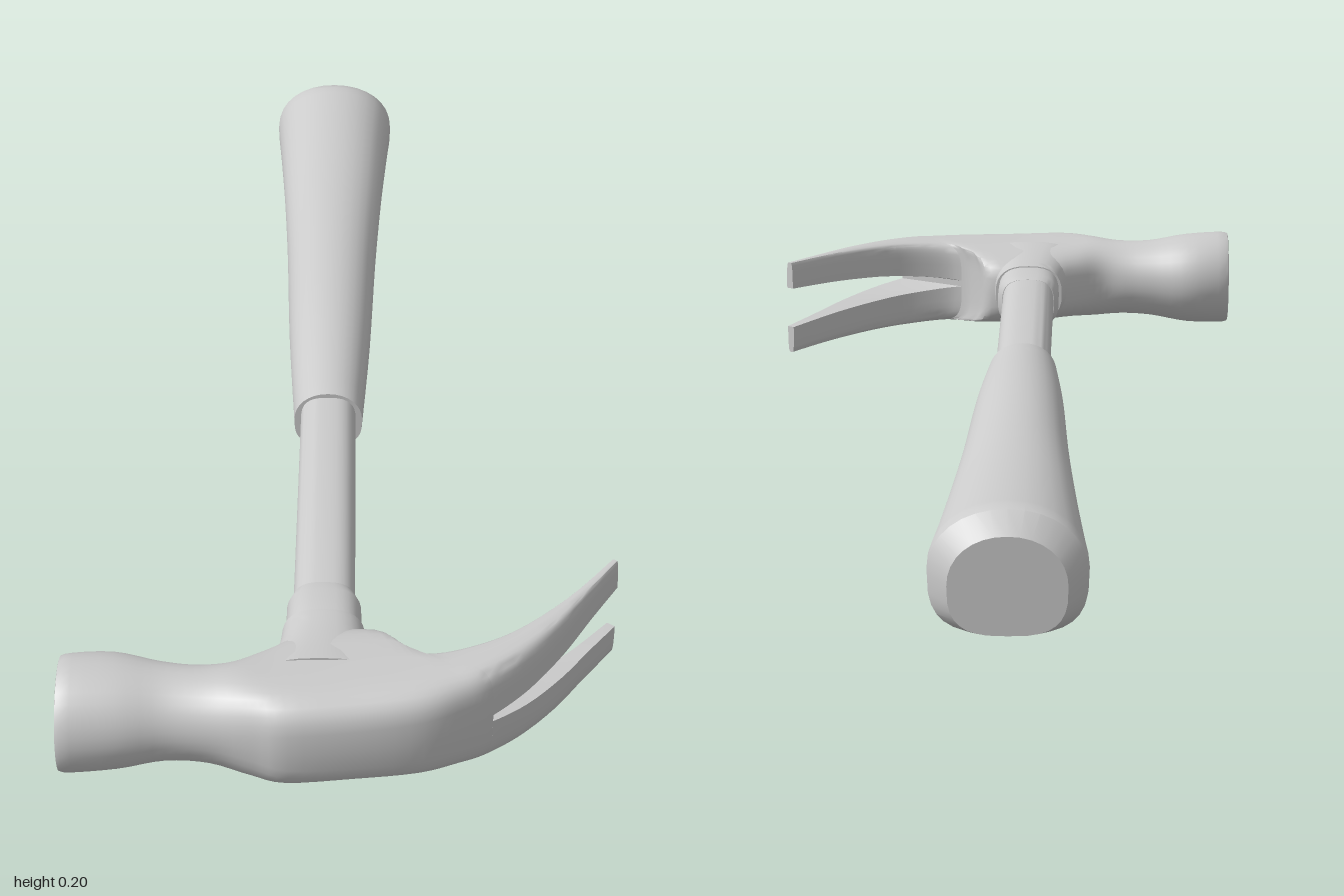
import * as THREE from 'three';
import { toCreasedNormals } from 'three/addons/utils/BufferGeometryUtils.js';

const SIDES = 32;
const material = new THREE.MeshStandardMaterial({ color: 0xcccccc });

// Superellipse ring between two plan points, with its own roundness above and below.
// taper narrows the ring toward its second point; clip may flatten it on one side.
function ring({ L, R, y, h, top, bottom = top, taper = 0 }, clip = (v) => v) {
  const points = [];
  for (let j = 0; j < SIDES; j++) {
    const a = (j / SIDES) * Math.PI * 2;
    const power = 2 / (Math.sin(a) >= 0 ? top : bottom);
    const bend = (v) => (Math.abs(v) < 1e-9 ? 0 : Math.sign(v) * Math.abs(v) ** power);
    const lat = bend(Math.cos(a));
    const t = (lat + 1) / 2;
    const up = clip(bend(Math.sin(a)) * h * (1 - taper * t));
    points.push(new THREE.Vector3(L[0] + (R[0] - L[0]) * t, y + up, L[1] + (R[1] - L[1]) * t));
  }
  return points;
}

// Skin a run of rings and close both ends
function loft(rings, name, crease = 0.6) {
  const positions = [];
  const tri = (...corners) => corners.forEach((p) => positions.push(p.x, p.y, p.z));
  const centre = (r) => r.reduce((s, p) => s.add(p), new THREE.Vector3()).divideScalar(SIDES);
  const first = rings[0];
  const last = rings[rings.length - 1];
  const start = centre(first);
  const end = centre(last);
  for (let j = 0; j < SIDES; j++) {
    const k = (j + 1) % SIDES;
    for (let i = 0; i < rings.length - 1; i++) {
      const [a, b] = [rings[i], rings[i + 1]];
      tri(a[j], a[k], b[j]);
      tri(a[k], b[k], b[j]);
    }
    tri(start, first[k], first[j]);
    tri(end, last[j], last[k]);
  }
  const geometry = new THREE.BufferGeometry();
  geometry.setAttribute('position', new THREE.Float32BufferAttribute(positions, 3));
  const mesh = new THREE.Mesh(toCreasedNormals(geometry, crease), material);
  mesh.name = name;
  return mesh;
}

// Catmull-Rom subdivision of rows of numbers
function smooth(rows, steps) {
  const out = [];
  const at = (i) => rows[Math.min(Math.max(i, 0), rows.length - 1)];
  for (let i = 0; i < rows.length - 1; i++) {
    for (let s = 0; s < steps; s++) {
      const t = s / steps;
      out.push(rows[i].map((b, n) => {
        const [a, c, d] = [at(i - 1)[n], at(i + 1)[n], at(i + 2)[n]];
        return b + 0.5 * t * (c - a + t * (2 * a - 5 * b + 4 * c - d + t * (3 * (b - c) + d - a)));
      }));
    }
  }
  out.push(at(rows.length));
  return out;
}

// Handle stations: [distance along axis, half width, bottom y, top y]
const AXIS = [0.777, -0.629];
const SIDE = [0.629, 0.777];
function handlePart(stations, name, top, bottom) {
  return loft(stations.map(([s, w, lo, hi]) => {
    const c = [AXIS[0] * s, 0.035 + AXIS[1] * s];
    return ring({
      L: [c[0] + SIDE[0] * w, c[1] + SIDE[1] * w],
      R: [c[0] - SIDE[0] * w, c[1] - SIDE[1] * w],
      y: (lo + hi) / 2, h: (hi - lo) / 2, top, bottom,
    });
  }), name);
}

export function createModel() {
  const model = new THREE.Group();
  model.name = 'clawHammer';

  // Handle
  model.add(handlePart([[-0.75, 0.052, 0.06, 0.158], [0.03, 0.05, 0.063, 0.157]], 'shaft', 2.8));
  const grip = smooth([
    [0, 0.062, 0.055, 0.165], [0.28, 0.077, 0.045, 0.185], [0.6, 0.088, 0.041, 0.187],
    [0.85, 0.1, 0.04, 0.19], [1.05, 0.112, 0.024, 0.2], [1.165, 0.12, 0.012, 0.208],
  ], 4);
  grip.push([1.185, 0.119, 0.012, 0.204], [1.217, 0.089, 0.02, 0.172]);
  model.add(handlePart(grip, 'grip', 2.1, 3));

  // Collar and the flared socket that joins the head
  model.add(handlePart([[-0.68, 0.062, 0.052, 0.165], [-0.6, 0.062, 0.054, 0.163],
    [-0.575, 0.053, 0.06, 0.158]], 'collar', 2.8));
  model.add(handlePart(smooth([[-0.82, 0.12, 0.02, 0.186], [-0.76, 0.088, 0.034, 0.176],
    [-0.71, 0.073, 0.045, 0.17], [-0.663, 0.068, 0.05, 0.167]], 4), 'socket', 2.6));

  // Head: [outer x, outer z, inner x, inner z, half height, roundness, taper, half notch]
  const head = [
    [-0.99, 0.302, -0.868, 0.203, 0.083, 2, 0, 0],
    [-1.0, 0.316, -0.855, 0.2, 0.095, 2, 0, 0],
    [-0.94, 0.38, -0.8, 0.25, 0.092, 2, 0, 0],
    [-0.88, 0.43, -0.765, 0.32, 0.079, 2, 0, 0],
    [-0.835, 0.49, -0.735, 0.37, 0.079, 2.1, 0.05, 0],
    [-0.805, 0.55, -0.7, 0.41, 0.089, 2.6, 0.15, 0],
    [-0.78, 0.6, -0.64, 0.43, 0.093, 3.2, 0.25, 0],
    [-0.7, 0.68, -0.56, 0.45, 0.093, 3.5, 0.28, 0],
    [-0.62, 0.745, -0.49, 0.53, 0.093, 3.8, 0.25, 0],
    [-0.55, 0.775, -0.51, 0.585, 0.093, 4, 0.2, 0],
    [-0.5, 0.79, -0.52, 0.64, 0.093, 4.2, 0.15, 0.006],
    [-0.42, 0.8, -0.48, 0.69, 0.093, 4.5, 0.1, 0.014],
    [-0.32, 0.795, -0.4, 0.735, 0.093, 5, 0.06, 0.023],
    [-0.22, 0.78, -0.27, 0.755, 0.093, 5, 0.03, 0.032],
    [-0.13, 0.768, -0.13, 0.752, 0.093, 5, 0, 0.04],
  ];
  const STEPS = 4;
  const rows = smooth(head, STEPS);
  const root = 10 * STEPS;
  const headRing = ([lx, lz, rx, rz, h, top, taper, gap], side = 0) => ring(
    { L: [lx, lz], R: [rx, rz], y: 0.103, h, top, taper },
    (v) => (side ? side * Math.max(side * v, gap) : v),
  );
  model.add(loft(rows.slice(0, root + 1).map((r) => headRing(r)), 'headBody', 0.7));

  // Claw tines, split by a widening notch
  for (const side of [1, -1]) {
    model.add(loft(rows.slice(root).map((r) => headRing(r, side)),
      side > 0 ? 'upperClaw' : 'lowerClaw', 0.7));
  }
  return model;
}
